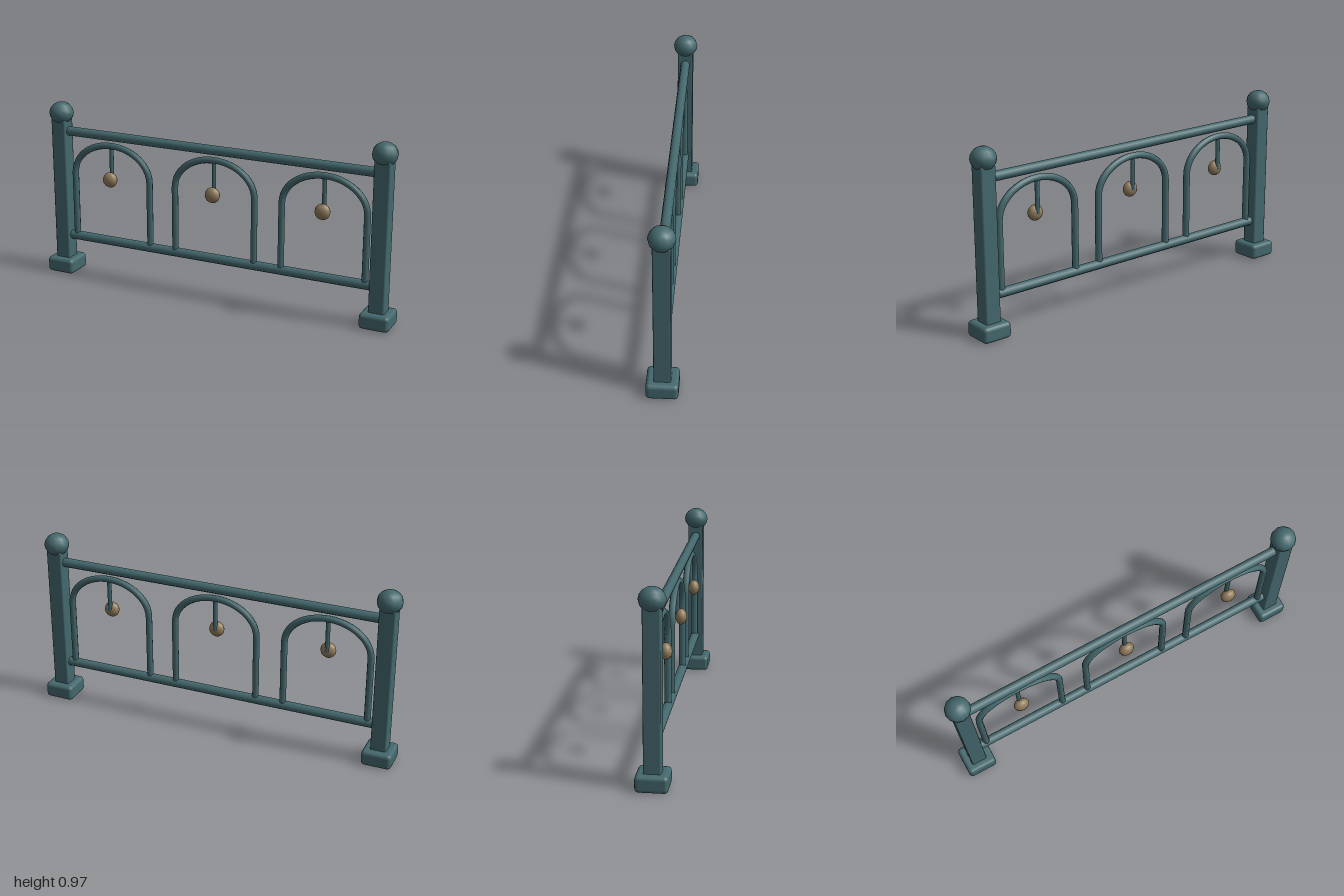
import * as THREE from 'three';
import { RoundedBoxGeometry } from 'three/addons/geometries/RoundedBoxGeometry.js';

const paint = new THREE.MeshStandardMaterial({ color: 0x44686d });
const brass = new THREE.MeshStandardMaterial({ color: 0x8f7a5a });

function add(parent, name, geometry, material, x = 0, y = 0, z = 0) {
  const mesh = new THREE.Mesh(geometry, material);
  mesh.name = name;
  mesh.position.set(x, y, z);
  parent.add(mesh);
  return mesh;
}

// Square post with a rounded foot and a slightly squashed ball cap
function createPost(name, x) {
  const post = new THREE.Group();
  post.name = name;
  post.position.x = x;
  add(post, 'foot', new RoundedBoxGeometry(0.16, 0.084, 0.16, 2, 0.02), paint, 0, 0.042);
  add(post, 'shaft', new RoundedBoxGeometry(0.085, 0.83, 0.085, 1, 0.008), paint, 0, 0.465);
  const cap = add(post, 'ballCap', new THREE.SphereGeometry(0.066, 12, 8), paint, 0, 0.908);
  cap.scale.y = 0.92;
  return post;
}

// Bent rod: straight legs joined by a half ellipse
function archGeometry() {
  const halfWidth = 0.23, spring = 0.58, rise = 0.176, foot = 0.21;
  const path = new THREE.CurvePath();
  const bend = [];
  for (let i = 0; i <= 16; i++) {
    const a = Math.PI * (1 - i / 16);
    bend.push(new THREE.Vector3(halfWidth * Math.cos(a), spring + rise * Math.sin(a), 0));
  }
  path.add(new THREE.LineCurve3(new THREE.Vector3(-halfWidth, foot, 0), bend[0]));
  path.add(new THREE.CatmullRomCurve3(bend));
  path.add(new THREE.LineCurve3(bend[16], new THREE.Vector3(halfWidth, foot, 0)));
  return new THREE.TubeGeometry(path, 56, 0.018, 8, false);
}

// Arch with a hanging stem and a flattened bead on its front
function createArch(name, x) {
  const arch = new THREE.Group();
  arch.name = name;
  arch.position.x = x;
  add(arch, 'archRod', archGeometry(), paint);
  add(arch, 'stem', new THREE.CylinderGeometry(0.012, 0.012, 0.185, 8), paint, 0, 0.6625);
  const bead = add(arch, 'bead', new THREE.SphereGeometry(0.042, 12, 8), brass, 0, 0.572, 0.021);
  bead.scale.z = 0.74;
  return arch;
}

export function createModel() {
  const railing = new THREE.Group();
  railing.name = 'railing';

  railing.add(createPost('rightPost', -0.92), createPost('leftPost', 0.92));

  // Horizontal rails between the posts
  for (const [name, y] of [['topRail', 0.81], ['bottomRail', 0.212]]) {
    const rail = add(railing, name, new THREE.CylinderGeometry(0.025, 0.025, 1.8, 10), paint, 0, y);
    rail.rotation.z = Math.PI / 2;
  }

  ['rightArch', 'middleArch', 'leftArch'].forEach((name, i) => {
    railing.add(createArch(name, (i - 1) * 0.613));
  });
  return railing;
}
